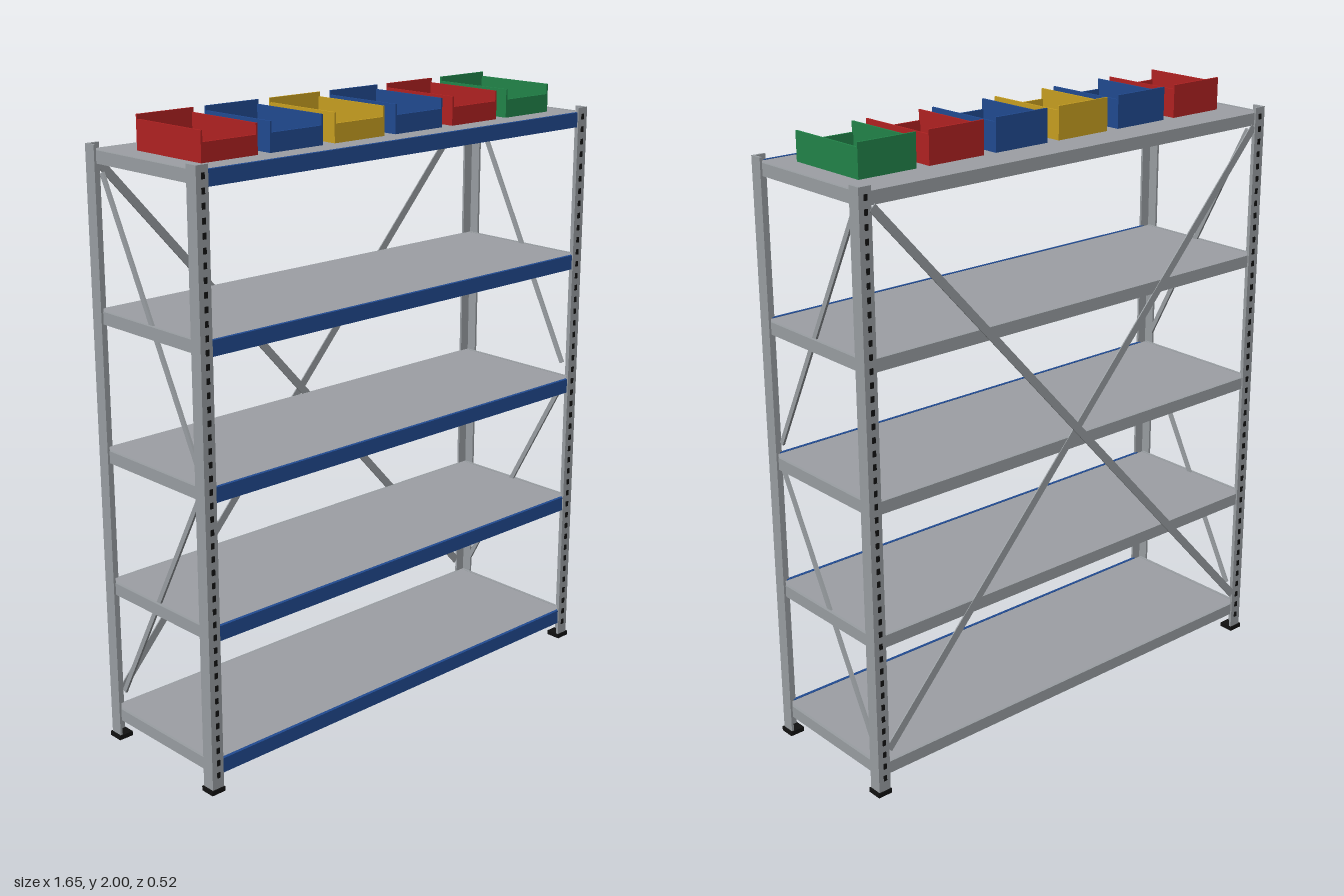
import * as THREE from 'three';
import { mergeGeometries } from 'three/addons/utils/BufferGeometryUtils.js';

const mat = (name, color) => {
  const m = new THREE.MeshStandardMaterial({ color });
  m.name = name;
  return m;
};

export function createModel() {
  const steel = mat('steel grey', 0x9a9fa3);
  const deckGrey = mat('deck grey', 0x9da0a5);
  const black = mat('black', 0x111111);
  const blue = mat('blue', 0x214b92);
  const red = mat('red', 0xb22222);
  const yellow = mat('yellow', 0xc9a021);
  const green = mat('green', 0x22854a);

  const root = new THREE.Group();
  root.name = 'shelvingUnit';

  // box given by its ranges
  const box = (parent, name, m, x0, x1, y0, y1, z0, z1) => {
    const mesh = new THREE.Mesh(new THREE.BoxGeometry(x1 - x0, y1 - y0, z1 - z0), m);
    mesh.position.set((x0 + x1) / 2, (y0 + y1) / 2, (z0 + z1) / 2);
    mesh.name = name;
    parent.add(mesh);
    return mesh;
  };
  // flat bar between two points in a plane of constant x or z
  const bar = (name, a, b, width, thick) => {
    const p = new THREE.Vector3(...a), q = new THREE.Vector3(...b);
    const sideways = p.x === q.x;
    const geo = new THREE.BoxGeometry(sideways ? thick : width, p.distanceTo(q), sideways ? width : thick);
    const mesh = new THREE.Mesh(geo, steel);
    mesh.position.copy(p).add(q).multiplyScalar(0.5);
    mesh.quaternion.setFromUnitVectors(new THREE.Vector3(0, 1, 0), q.clone().sub(p).normalize());
    mesh.name = name;
    root.add(mesh);
  };

  // angle-section posts with punched slots and feet
  const X = 0.82, Z = 0.257, W = 0.043, T = 0.008;
  for (const sx of [-1, 1]) for (const sz of [-1, 1]) {
    const post = new THREE.Group();
    post.name = (sz > 0 ? 'front' : 'back') + (sx > 0 ? 'Left' : 'Right') + 'Post';
    const section = new THREE.Shape([
      [X, Z], [X - W, Z], [X - W, Z - T], [X - T, Z - T], [X - T, Z - W], [X, Z - W],
    ].map(([x, z]) => new THREE.Vector2(x * sx, -z * sz)));
    const geo = new THREE.ExtrudeGeometry(section, { depth: 1.9, bevelEnabled: false });
    geo.rotateX(-Math.PI / 2).translate(0, 0.012, 0);
    const angle = new THREE.Mesh(geo, steel);
    angle.name = 'angle';
    post.add(angle);

    const slots = [];
    for (let i = 0; i < 45; i++) {
      slots.push(new THREE.BoxGeometry(0.011, 0.018, 0.004)
        .translate(sx * 0.797, 0.06 + i * 0.0414, sz * (Z + 0.001)));
    }
    const slotMesh = new THREE.Mesh(mergeGeometries(slots), black);
    slotMesh.name = 'slots';
    post.add(slotMesh);

    const foot = box(post, 'foot', black, -0.025, 0.025, 0, 0.015, -0.025, 0.025);
    foot.position.x = sx * 0.8;
    foot.position.z = sz * 0.236;
    root.add(post);
  }

  // shelves: deck, stiffening ribs and edge beams
  for (const top of [0.105, 0.542, 0.978, 1.415, 1.895]) {
    const shelf = new THREE.Group();
    shelf.name = 'shelf';
    box(shelf, 'deck', deckGrey, -0.812, 0.812, top - 0.01, top, -0.249, 0.242);
    box(shelf, 'frontBeam', blue, -0.784, 0.784, top - 0.047, top + 0.001, 0.242, 0.253);
    box(shelf, 'backBeam', steel, -0.784, 0.784, top - 0.04, top, -0.252, -0.242);
    for (const s of [-1, 1]) {
      const b = box(shelf, 'sideBeam', steel, -0.005, 0.005, top - 0.038, top + 0.001, -0.242, 0.242);
      b.position.x = s * 0.808;
    }
    for (const z of [-0.15, -0.05, 0.05, 0.15]) {
      box(shelf, 'rib', deckGrey, -0.8, 0.8, top - 0.028, top - 0.01, z - 0.018, z + 0.018);
    }
    root.add(shelf);
  }

  // crossed back braces and zigzag side braces
  for (const s of [-1, 1]) {
    bar('backBrace', [-s * 0.775, 0.15, -0.254 - s * 0.002], [s * 0.775, 1.85, -0.254 - s * 0.002], 0.027, 0.004);
    bar('upperSideBrace', [s * 0.8, 1.025, 0.208], [s * 0.8, 1.83, -0.206], 0.016, 0.008);
    bar('lowerSideBrace', [s * 0.8, 0.94, 0.208], [s * 0.8, 0.17, -0.206], 0.016, 0.008);
  }

  // open storage bins with a low front and a raised back
  [red, blue, yellow, blue, red, green].forEach((m, i) => {
    const bin = new THREE.Group();
    bin.name = 'bin';
    const h = 0.102, z0 = -0.132, z1 = 0.164, t = 0.006;
    box(bin, 'floor', m, -h, h, 0, 0.008, z0, z1);
    box(bin, 'frontWall', m, -h, h, 0, 0.058, z1 - t, z1);
    box(bin, 'backWall', m, -h, h, 0, 0.105, z0, z0 + t);
    box(bin, 'rightWall', m, -h, -h + t, 0, 0.091, z0, z1);
    box(bin, 'leftWall', m, h - t, h, 0, 0.091, z0, z1);
    bin.position.set(-0.625 + i * 0.25, 1.895, 0);
    root.add(bin);
  });

  return root;
}
